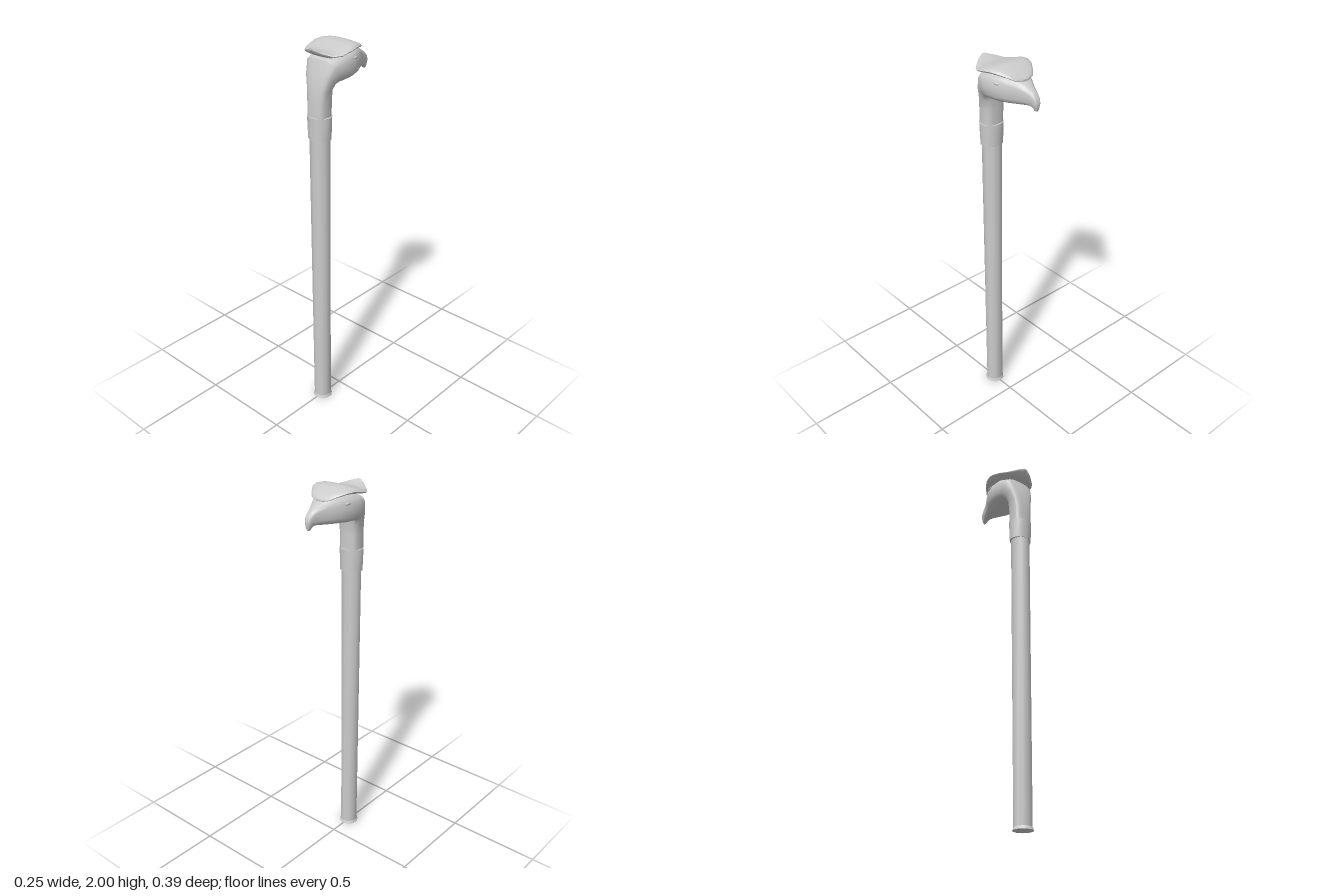
import * as THREE from 'three';
import { toCreasedNormals } from 'three/addons/utils/BufferGeometryUtils.js';

const material = new THREE.MeshStandardMaterial({ color: 0xcccccc });
const SHAFT_Z = 0.136;

// Skin over rings [lowZ, lowY, highZ, highY, halfWidth]; p sets how boxy each ring is
function loft(rings, p, sides = 20) {
  const pos = [], index = [];
  const bend = (v) => Math.sign(v) * Math.abs(v) ** (2 / p);
  for (const [bz, by, tz, ty, w] of rings) {
    for (let j = 0; j < sides; j++) {
      const a = (j / sides) * Math.PI * 2;
      const t = 0.5 + 0.5 * bend(Math.sin(a));
      pos.push(w * bend(Math.cos(a)), by + (ty - by) * t, bz + (tz - bz) * t);
    }
  }
  for (let i = 0; i < rings.length - 1; i++) {
    for (let j = 0; j < sides; j++) {
      const k = (j + 1) % sides, a = i * sides, b = a + sides;
      index.push(a + j, b + j, a + k, b + j, b + k, a + k);
    }
  }
  // Close both ends with fans
  for (const i of [0, rings.length - 1]) {
    const [bz, by, tz, ty] = rings[i];
    const c = pos.length / 3;
    pos.push(0, (by + ty) / 2, (bz + tz) / 2);
    for (let j = 0; j < sides; j++) {
      const a = i * sides + j, b = i * sides + ((j + 1) % sides);
      index.push(c, i ? b : a, i ? a : b);
    }
  }
  const g = new THREE.BufferGeometry();
  g.setAttribute('position', new THREE.Float32BufferAttribute(pos, 3));
  g.setIndex(index);
  return toCreasedNormals(g, 0.7);
}

export function createModel() {
  const model = new THREE.Group();
  model.name = 'birdHeadCane';
  const add = (name, geometry) => {
    const mesh = new THREE.Mesh(geometry, material);
    mesh.name = name;
    model.add(mesh);
    return mesh;
  };
  const tube = (name, rTop, rBottom, y0, y1, sides) => {
    const g = new THREE.CylinderGeometry(rTop, rBottom, y1 - y0, sides);
    const mesh = add(name, toCreasedNormals(g, 0.9));
    mesh.position.set(0, (y0 + y1) / 2, SHAFT_Z);
    return mesh;
  };

  // Shaft, foot and collar
  tube('shaft', 0.051, 0.046, 0.01, 1.6, 10);
  tube('foot', 0.046, 0.052, 0, 0.016, 10);
  const collar = tube('collar', 0.063, 0.059, 1.545, 1.66, 16);
  collar.scale.z = 0.89;

  // Neck bending forward into the head and the hooked beak
  add('neckAndHead', loft([
    [0.09, 1.64, 0.183, 1.64, 0.053],
    [0.09, 1.74, 0.181, 1.74, 0.055],
    [0.09, 1.79, 0.175, 1.79, 0.061],
    [0.086, 1.812, 0.163, 1.86, 0.078],
    [0.074, 1.817, 0.137, 1.93, 0.094],
    [0.05, 1.819, 0.075, 1.955, 0.104],
    [0, 1.822, 0, 1.962, 0.1],
    [-0.05, 1.827, -0.05, 1.962, 0.084],
    [-0.095, 1.831, -0.1, 1.945, 0.054],
    [-0.13, 1.836, -0.135, 1.925, 0.034],
    [-0.15, 1.838, -0.165, 1.905, 0.025],
    [-0.16, 1.836, -0.186, 1.885, 0.02],
    [-0.165, 1.832, -0.195, 1.86, 0.015],
    [-0.172, 1.822, -0.191, 1.832, 0.01],
    [-0.178, 1.818, -0.187, 1.82, 0.004],
  ], 3.2));

  // Broad crown with an overhanging rim, turned up at the back
  const crown = [
    [0.187, 0.012, 1.982, 1.99],
    [0.172, 0.045, 1.965, 1.983],
    [0.137, 0.09, 1.945, 1.97],
    [0.1, 0.115, 1.947, 1.974],
    [0.04, 0.123, 1.956, 1.995],
    [0.005, 0.117, 1.96, 2],
    [-0.03, 0.106, 1.96, 1.995],
    [-0.07, 0.078, 1.952, 1.978],
    [-0.095, 0.054, 1.943, 1.96],
    [-0.107, 0.02, 1.938, 1.95],
  ];
  add('crown', loft(crown.map(([z, w, y0, y1]) => [z, y0, z, y1, w]), 2.3));

  // Narrow eyes under the rim
  for (const side of [1, -1]) {
    const eye = add(side > 0 ? 'leftEye' : 'rightEye', new THREE.SphereGeometry(1, 12, 8));
    eye.scale.set(0.005, 0.007, 0.016);
    eye.position.set(side * 0.095, 1.925, -0.01);
    eye.rotation.y = side * 0.2;
  }
  return model;
}
